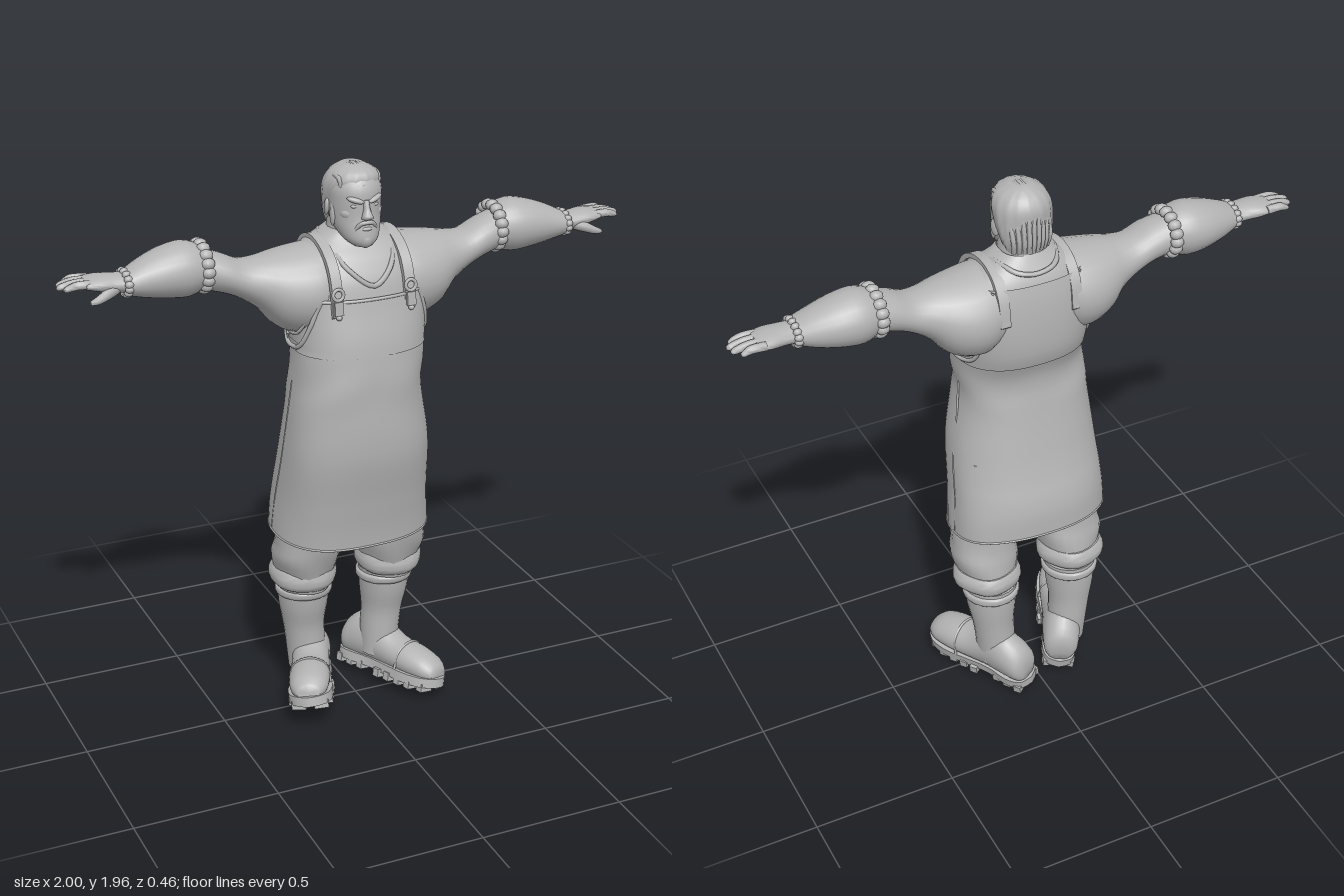
import * as THREE from 'three';
import { mergeVertices, toCreasedNormals } from 'three/addons/utils/BufferGeometryUtils.js';

const clay = new THREE.MeshStandardMaterial({ color: 0xb4b4b4, side: THREE.DoubleSide });
clay.name = 'clay grey';
const V = (x, y, z) => new THREE.Vector3(x, y, z);
const { sin, cos, PI, abs, sign, max, min, floor, exp } = Math;

// Catmull-Rom sample of a list of number rows
function sample(rows, t) {
  const n = rows.length - 1, i = min(floor(t), n - 1), f = t - i;
  const r = k => rows[max(0, min(n, k))];
  return rows[0].map((_, k) => {
    const a = r(i - 1)[k], b = r(i)[k], c = r(i + 1)[k], d = r(i + 2)[k];
    return b + 0.5 * f * (c - a + f * (2 * a - 5 * b + 4 * c - d + f * (3 * (b - c) + d - a)));
  });
}

// Grid surface from a function of (u, v), both 0..1
function patch(fn, nu, nv, crease = 0.9) {
  const pos = [], idx = [];
  for (let j = 0; j <= nv; j++) for (let i = 0; i <= nu; i++) pos.push(...fn(i / nu, j / nv, j).toArray());
  for (let j = 0; j < nv; j++) for (let i = 0; i < nu; i++) {
    const a = j * (nu + 1) + i, c = a + nu + 1;
    idx.push(a, a + 1, c + 1, a, c + 1, c);
  }
  const g = new THREE.BufferGeometry();
  g.setAttribute('position', new THREE.Float32BufferAttribute(pos, 3));
  g.setIndex(idx);
  return toCreasedNormals(mergeVertices(g, 1e-5), crease);
}

// Closed loft of elliptical rings [t, centreA, centreB, radiusA, radiusB] along an axis
function loft(axis, rings, { n = 24, steps = 3, wave = () => 1 } = {}) {
  const rows = (rings.length - 1) * steps;
  return patch((u, v, j) => {
    const [t, a, b, ra, rb] = sample(rings, max(0, min(rows, j - 1)) / steps);
    const w = j === 0 || j === rows + 2 ? 0 : wave(u * 2 * PI, t);
    const s = sin(u * 2 * PI) * w, c = cos(u * 2 * PI) * w;
    if (axis === 'y') return V(a + ra * s, t, b + rb * c);
    if (axis === 'x') return V(t, a + ra * c, b + rb * s);
    return V(a + ra * c, b + rb * s, t);
  }, n, rows + 2);
}

function add(parent, name, geo, pos = [0, 0, 0], rot = [0, 0, 0], scale = [1, 1, 1]) {
  const m = new THREE.Mesh(geo, clay);
  m.name = name;
  m.position.set(...pos); m.rotation.set(...rot); m.scale.set(...scale);
  parent.add(m);
}
const curveTube = (pts, r, closed = false, seg = 32, sides = 6) =>
  new THREE.TubeGeometry(new THREE.CatmullRomCurve3(pts, closed), seg, r, sides, closed);
const tube = (pts, ...rest) => curveTube(pts.map(p => V(...p)), ...rest);
const ball = (r, w = 14, h = 10) => new THREE.SphereGeometry(r, w, h);
const box = (x, y, z) => new THREE.BoxGeometry(x, y, z);

// Trunk and apron cross-sections: [y, centreX, centreZ, radiusX, radiusZ]
const BODY = [
  [0.65, -0.01, -0.04, 0.275, 0.188], [0.8, -0.012, -0.025, 0.265, 0.195], [1.0, -0.015, 0.017, 0.25, 0.19],
  [1.2, -0.022, 0.035, 0.223, 0.173], [1.3, -0.012, 0.037, 0.219, 0.166], [1.4, -0.008, 0.015, 0.22, 0.178],
  [1.5, -0.005, 0, 0.226, 0.17], [1.6, -0.005, -0.008, 0.222, 0.155], [1.67, -0.005, -0.02, 0.2, 0.128],
  [1.72, -0.005, -0.03, 0.13, 0.09], [1.75, -0.005, -0.025, 0.08, 0.075]];
function bodyPoint(y, a, off = 0) {
  let i = 0;
  while (i < BODY.length - 2 && y > BODY[i + 1][0]) i++;
  const [, cx, cz, rx, rz] = sample(BODY, i + (y - BODY[i][0]) / (BODY[i + 1][0] - BODY[i][0]));
  const s = sin(a), c = cos(a), e = 0.82;
  // shallow cloth folds toward the hem, and slanting pulls at the waist
  const pull = exp(-(((y - 1.25) / 0.07) ** 2)) * sin(4 * abs(Math.atan2(s, c)) + 14 * (y - 1.25));
  const fold = 1 + 0.008 * sin(5 * a + 6 * y) * max(0, min(1, (1.4 - y) * 2)) + 0.02 * pull;
  const x = cx + (rx * fold + off) * sign(s) * abs(s) ** e;
  const z = cz + (rz * fold + off) * sign(c) * abs(c) ** e;
  return V(x, y + max(0, 0.9 - y) / 0.25 * 0.055 * (0.15 - z) / 0.38, z);
}

function buildTrunk(g) {
  add(g, 'torso', patch((u, v) => bodyPoint(1.34 + 0.41 * v, u * 2 * PI), 48, 20));
  add(g, 'apronSkirt', patch((u, v) => bodyPoint(0.65 + 0.74 * v, u * 2 * PI, 0.004), 64, 32));
  add(g, 'apronHem', curveTube(Array.from({ length: 40 }, (_, i) => bodyPoint(0.652, i / 20 * PI, 0.002)), 0.005, true, 80));
  // bib and back panel follow the trunk and narrow upward
  add(g, 'apronBib', patch((u, v) =>
    bodyPoint(1.36 + 0.185 * v, (u * 2 - 1) * (1.5 - 0.75 * v ** 0.7), 0.008), 24, 8));
  add(g, 'apronBack', patch((u, v) =>
    bodyPoint(1.36 + 0.31 * v, PI + (u * 2 - 1) * (1.5 - 0.6 * v ** 0.6), 0.008), 24, 10));
  add(g, 'bibTopEdge', curveTube(Array.from({ length: 9 }, (_, i) => bodyPoint(1.545, (i / 4 - 1) * 0.75, 0.007)), 0.006));
  for (const s of [1, -1]) {
    // trim below the arm, in two parallel bands
    for (const [d, r] of [[0, 0.008], [0.045, 0.006]])
      add(g, 'armholeTrim', curveTube([[1.54, 0.8], [1.46, 1.02], [1.385, 1.35], [1.37, 1.7], [1.4, 2.05], [1.5, 2.28], [1.62, 2.4]]
        .map(([y, a]) => bodyPoint(y + d, s * a, 0.008)), r));
    // side seam of the apron
    add(g, 'sideSeam', curveTube([0.66, 0.8, 0.95, 1.1, 1.25].map(y => bodyPoint(y, s * 1.62, 0.002)), 0.004));
    // flat shoulder strap
    const path = new THREE.CatmullRomCurve3([[0.164, 1.5], [0.158, 1.58], [0.125, 1.655], [0.06, 1.705],
      [-0.03, 1.725], [-0.11, 1.7], [-0.155, 1.64], [-0.172, 1.55]].map(([z, y]) => V(z, y, 0))).getPoints(24);
    const inner = path.map(p => V(-0.02 + (p.x + 0.02) * 0.9, p.y - 0.014, 0)).reverse();
    const strap = new THREE.ExtrudeGeometry(new THREE.Shape([...path, ...inner]), { depth: 0.036, bevelEnabled: false });
    add(g, 'shoulderStrap', toCreasedNormals(strap, 0.6), [s * 0.128 + 0.013, 0, 0], [0, -PI / 2, 0]);
    // buckle
    const x = s * 0.128 - 0.005;
    add(g, 'buckleRing', new THREE.TorusGeometry(0.018, 0.006, 8, 16), [x, 1.575, 0.164], [-0.15, 0, 0]);
    add(g, 'buckleTab', box(0.03, 0.045, 0.012), [x, 1.53, 0.168], [-0.1, 0, 0]);
    add(g, 'buckleStud', ball(0.01), [x, 1.5, 0.17]);
  }
  add(g, 'collar', tube([[0, 1.585, 0.152], [0.07, 1.64, 0.125], [0.1, 1.7, 0.04], [0.1, 1.725, -0.05], [0.06, 1.71, -0.125],
    [0, 1.7, -0.14], [-0.07, 1.71, -0.125], [-0.11, 1.725, -0.05], [-0.11, 1.7, 0.04], [-0.08, 1.64, 0.125]], 0.009, true, 60));
  add(g, 'neck', loft('y', [[1.6, -0.005, -0.02, 0.1, 0.1], [1.7, -0.007, -0.02, 0.088, 0.085], [1.8, -0.01, -0.02, 0.075, 0.075]]));
}

function buildHead(g) {
  const h = new THREE.Group();
  h.name = 'head';
  h.position.x = -0.01;
  g.add(h);
  add(h, 'skull', loft('y', [[1.705, 0, 0.08, 0.03, 0.032], [1.725, 0, 0.058, 0.056, 0.064], [1.76, 0, 0.025, 0.075, 0.094],
    [1.8, 0, 0.01, 0.084, 0.1], [1.85, 0, 0.006, 0.088, 0.102], [1.89, 0, 0.004, 0.088, 0.1],
    [1.925, 0, 0, 0.072, 0.084], [1.945, 0, -0.005, 0.045, 0.055]], { n: 28 }));
  // swept-back hair with strand ridges
  add(h, 'hairCap', loft('y', [[1.75, 0, -0.05, 0.07, 0.05], [1.79, 0, -0.045, 0.085, 0.06], [1.85, 0, -0.025, 0.096, 0.078],
    [1.9, 0, -0.008, 0.094, 0.095], [1.935, 0, 0, 0.074, 0.083], [1.957, 0, -0.005, 0.035, 0.045]],
    { n: 60, wave: a => 1 + 0.015 * sin(15 * a) }));
  for (let i = -4; i <= 4; i++) {
    const x = i * 0.016, d = 1 - (i / 6) ** 2;
    add(h, 'hairLock', tube([[x, 1.87 + 0.03 * d, 0.088 * d + 0.005], [x * 1.05, 1.893 + 0.047 * d, 0.05],
      [x * 1.1, 1.89 + 0.062 * d, -0.01], [x * 1.05, 1.88 + 0.03 * d, -0.083 * d], [x, 1.8, -0.06 - 0.045 * d],
      [x * 0.9, 1.755, -0.05 - 0.045 * d]], 0.009, false, 24));
  }
  // brow, nose, mouth and chin beard
  add(h, 'nose', loft('y', [[1.8, 0, 0.113, 0.02, 0.018], [1.808, 0, 0.118, 0.019, 0.019], [1.83, 0, 0.11, 0.011, 0.016],
    [1.86, 0, 0.102, 0.01, 0.012]], { n: 12 }));
  add(h, 'moustache', tube([[-0.036, 1.765, 0.1], [-0.02, 1.785, 0.115], [0, 1.788, 0.119], [0.02, 1.785, 0.115],
    [0.036, 1.765, 0.1]], 0.007, false, 16));
  add(h, 'lowerLip', ball(0.016), [0, 1.766, 0.112], [0, 0, 0], [1.2, 0.45, 0.6]);
  add(h, 'chinBeard', ball(0.03), [0, 1.728, 0.1], [0, 0, 0], [0.9, 0.95, 0.8]);
  for (const s of [1, -1]) {
    add(h, 'brow', ball(0.027), [s * 0.034, 1.86, 0.098], [0, s * 0.4, s * 0.28], [1.1, 0.35, 0.45]);
    add(h, 'eye', ball(0.012), [s * 0.034, 1.84, 0.092], [0, 0, 0], [1.2, 0.6, 0.8]);
    add(h, 'cheekbone', ball(0.026), [s * 0.05, 1.812, 0.072], [0, s * 0.7, 0], [1, 0.7, 0.6]);
    add(h, 'ear', ball(0.026), [s * 0.09, 1.82, -0.005], [0.2, s * 0.3, 0], [0.35, 1.15, 0.7]);
    add(h, 'sideburn', ball(0.024), [s * 0.082, 1.8, 0.024], [0, 0, 0], [0.35, 1.6, 0.6]);
  }
}

function buildArm(g, s) {
  const arm = new THREE.Group();
  arm.name = s > 0 ? 'leftArm' : 'rightArm';
  g.add(arm);
  const along = (rings, o) => {
    const r = rings.map(([x, ...q]) => [s * x, ...q]);
    return loft('x', s > 0 ? r : r.reverse(), o);
  };
  add(arm, 'upperArm', along([[0.08, 1.58, -0.02, 0.13, 0.13], [0.16, 1.555, -0.022, 0.148, 0.155], [0.23, 1.553, -0.025, 0.142, 0.15],
    [0.29, 1.565, -0.025, 0.122, 0.128], [0.34, 1.59, -0.025, 0.088, 0.1], [0.4, 1.611, -0.027, 0.066, 0.085],
    [0.46, 1.638, -0.03, 0.066, 0.082], [0.54, 1.66, -0.04, 0.068, 0.075]]));
  add(arm, 'sleeve', along([[0.525, 1.664, -0.045, 0.074, 0.08], [0.58, 1.663, -0.046, 0.092, 0.095], [0.65, 1.661, -0.044, 0.083, 0.093],
    [0.72, 1.655, -0.037, 0.064, 0.076], [0.775, 1.65, -0.027, 0.042, 0.06]]));
  // puckered rings at both ends of the sleeve
  for (const [x, y, z, ry, rz, r, n] of [[0.522, 1.664, -0.045, 0.072, 0.08, 0.019, 16], [0.782, 1.65, -0.027, 0.036, 0.054, 0.012, 14]])
    for (let i = 0; i < n; i++) {
      const a = i / n * 2 * PI;
      add(arm, 'cuffPucker', ball(r, 10, 8), [s * x, y + ry * cos(a), z + rz * sin(a)], [0, 0, 0], [1.25, 1, 1]);
    }
  add(arm, 'palm', along([[0.77, 1.65, -0.027, 0.033, 0.048], [0.82, 1.655, -0.03, 0.03, 0.05], [0.87, 1.66, -0.036, 0.026, 0.058],
    [0.915, 1.662, -0.042, 0.017, 0.054]]));
  [0.973, 0.995, 1.0, 0.985].forEach((tip, i) => {
    const z = -0.084 + i * 0.026;
    add(arm, 'finger', along([[0.89, 1.664, z, 0.015, 0.014], [0.94, 1.667, z * 1.02, 0.014, 0.014],
      [tip - 0.012, 1.66, z * 1.03, 0.011, 0.012], [tip, 1.657, z * 1.03, 0.005, 0.006]], { n: 10 }));
  });
  add(arm, 'thumb', along([[0.81, 1.645, -0.005, 0.02, 0.02], [0.85, 1.634, 0.015, 0.019, 0.018], [0.885, 1.62, 0.022, 0.014, 0.014],
    [0.91, 1.614, 0.024, 0.007, 0.007]], { n: 10 }));
}

function buildLeg(g, s) {
  const leg = new THREE.Group(), isLeft = s > 0;
  leg.name = isLeft ? 'leftLeg' : 'rightLeg';
  g.add(leg);
  const o = isLeft ? 0 : -0.01, up = r => r.map(([y, x, ...q]) => [y, s * x + o, ...q]);
  const crumple = (a, y) => 1 + 0.025 * sin(4 * a + 30 * y);
  add(leg, 'trouser', loft('y', up([[0.44, 0.155, -0.075, 0.09, 0.1], [0.5, 0.155, -0.07, 0.1, 0.11], [0.57, 0.158, -0.055, 0.117, 0.12],
    [0.63, 0.155, -0.042, 0.113, 0.122], [0.75, 0.15, -0.03, 0.115, 0.125], [0.98, 0.125, -0.01, 0.115, 0.13]]), { wave: crumple }));
  add(leg, 'trouserRoll', loft('y', up([[0.452, 0.157, -0.075, 0.098, 0.105], [0.468, 0.158, -0.075, 0.115, 0.12],
    [0.5, 0.158, -0.075, 0.117, 0.123], [0.525, 0.157, -0.072, 0.104, 0.112]]), { n: 32, wave: a => 1 + 0.025 * sin(5 * a) }));
  add(leg, 'bootShaft', loft('y', up([[0.1, 0.135, -0.1, 0.066, 0.07], [0.2, 0.14, -0.103, 0.07, 0.073], [0.28, 0.147, -0.102, 0.074, 0.075],
    [0.36, 0.15, -0.095, 0.086, 0.088], [0.45, 0.15, -0.09, 0.093, 0.095]])));
  add(leg, 'bootTopBand', loft('y', up([[0.405, 0.15, -0.092, 0.093, 0.095], [0.41, 0.15, -0.092, 0.1, 0.1], [0.43, 0.15, -0.09, 0.1, 0.102],
    [0.436, 0.15, -0.09, 0.093, 0.095]])));

  // boot foot, turned out; left rolled to its outer edge, right with the toe raised
  const foot = new THREE.Group();
  foot.name = 'bootFoot';
  foot.position.set(...(isLeft ? [0.11, 0.022, -0.112] : [-0.128, 0.03, -0.072]));
  foot.rotation.set(isLeft ? -0.03 : -0.2, s * 0.45, isLeft ? -0.2 : 0.1, 'YXZ');
  leg.add(foot);
  add(foot, 'bootUpper', loft('z', [[-0.12, 0, 0.085, 0.035, 0.04], [-0.1, 0, 0.1, 0.06, 0.07], [-0.03, 0, 0.12, 0.068, 0.095],
    [0.04, 0, 0.112, 0.066, 0.085], [0.12, 0, 0.09, 0.068, 0.064], [0.2, 0, 0.082, 0.072, 0.058],
    [0.27, 0, 0.072, 0.063, 0.047], [0.305, 0, 0.062, 0.04, 0.028]]));
  add(foot, 'toeSeam', tube([[-0.071, 0.05, 0.16], [-0.058, 0.118, 0.165], [0, 0.146, 0.17], [0.058, 0.118, 0.165], [0.071, 0.05, 0.16]],
    0.005, false, 20));
  const half = [[0.045, 0.115], [0.062, 0.06], [0.056, -0.03], [0.069, -0.13], [0.078, -0.21], [0.062, -0.285]];
  const outline = new THREE.SplineCurve([[0, 0.133], ...half, [0, -0.322], ...half.map(([x, y]) => [-x, y]).reverse(), [0, 0.133]]
    .map(p => new THREE.Vector2(...p))).getPoints(48);
  const sole = new THREE.ExtrudeGeometry(new THREE.Shape(outline), { depth: 0.034, bevelEnabled: false });
  add(foot, 'sole', toCreasedNormals(sole, 0.7), [0, 0.018, 0], [-PI / 2, 0, 0]);
  // tread blocks in pairs, skipping the arch
  for (let i = 0; i < 9; i++) {
    const z = -0.1 + i * 0.047;
    if (i === 3) continue;
    const w = i < 3 ? 0.046 : i === 8 ? 0.05 : 0.063;
    for (const e of [1, -1]) add(foot, 'treadBlock', box(w, 0.03, 0.028), [e * (w / 2 + 0.012), 0.015, z], [0, e * 0.2, 0]);
  }
}

export function createModel() {
  const g = new THREE.Group();
  g.name = 'apronWorker';
  buildTrunk(g);
  buildHead(g);
  for (const s of [1, -1]) { buildArm(g, s); buildLeg(g, s); }
  return g;
}
